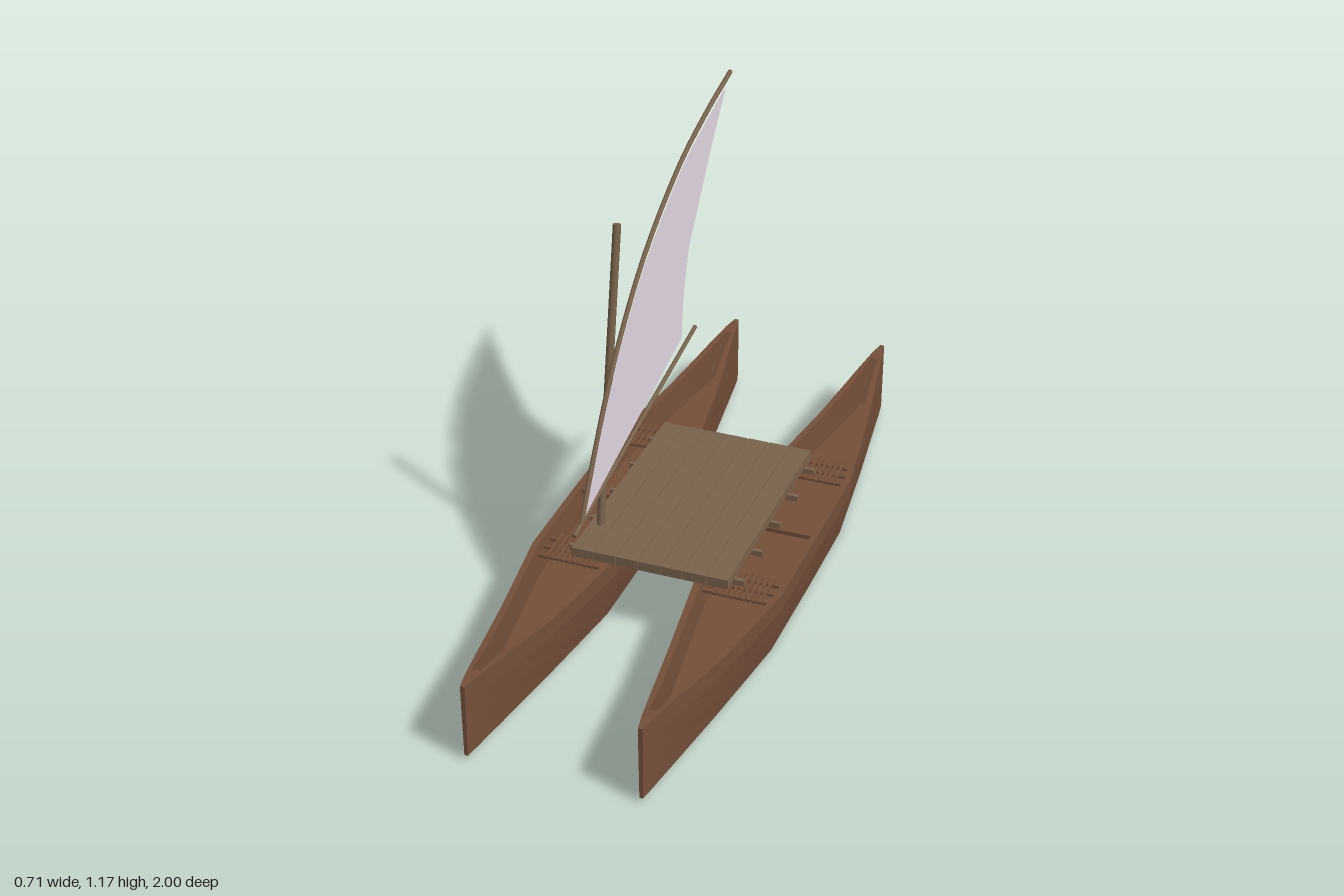
import * as THREE from 'three';

const mat = (color, extra = {}) => new THREE.MeshStandardMaterial({ color, roughness: 0.9, ...extra });
const hullMat = mat(0x754f3a, { flatShading: true });
const woodMat = mat(0x79634c);
const sailMat = mat(0xe2d6e0, { side: THREE.DoubleSide });

function add(parent, name, geometry, material, x = 0, y = 0, z = 0) {
  const m = new THREE.Mesh(geometry, material);
  m.name = name;
  m.position.set(x, y, z);
  parent.add(m);
  return m;
}

// round pole between two points
function pole(parent, name, a, b, r) {
  const dir = b.clone().sub(a);
  const m = add(parent, name, new THREE.CylinderGeometry(r, r, dir.length(), 10), woodMat);
  m.position.copy(a).addScaledVector(dir, 0.5);
  m.quaternion.setFromUnitVectors(new THREE.Vector3(0, 1, 0), dir.normalize());
  return m;
}

// one cross-section of the hollow hull, counter-clockwise seen from the bow
function hullSection([z, w, top, keel, floor]) {
  const side = [[0.78, 0], [0.9, 0.38], [0.99, 0.72], [1, 1]]
    .map(([k, f]) => [w * k, keel + (top - keel) * f]);
  const inner = w - Math.min(0.018, w * 0.45);
  side.push([inner, top], [inner * 0.93, floor]);
  const mirrored = side.map(([x, y]) => [-x, y]).reverse();
  return [...side, ...mirrored].map(([x, y]) => [x, y, z]);
}

function hullGeometry() {
  // z, half width, sheer height, keel height, inner floor height
  const half = [
    [0, 0.122, 0.184, 0, 0.1], [0.3, 0.12, 0.184, 0, 0.1], [0.45, 0.098, 0.184, 0.003, 0.1],
    [0.61, 0.074, 0.187, 0.006, 0.1], [0.78, 0.045, 0.206, 0.009, 0.1],
    [0.85, 0.033, 0.215, 0.01, 0.1], [0.92, 0.021, 0.222, 0.012, 0.222],
    [0.95, 0.016, 0.225, 0.012, 0.225], [1, 0.006, 0.226, 0.013, 0.226],
  ];
  const stations = [...half.slice(1).reverse().map(([z, ...r]) => [-z, ...r]), ...half];
  const sections = stations.map(hullSection);
  const n = sections[0].length, last = (sections.length - 1) * n, index = [];
  for (let s = 0; s < sections.length - 1; s++) {
    for (let i = 0; i < n; i++) {
      const a = s * n + i, b = s * n + (i + 1) % n;
      index.push(a, b, b + n, a, b + n, a + n);
    }
  }
  for (let i = 1; i < n - 1; i++) {
    index.push(last, last + i, last + i + 1, 0, i + 1, i);
  }
  const g = new THREE.BufferGeometry();
  g.setAttribute('position', new THREE.Float32BufferAttribute(sections.flat(2), 3));
  g.setIndex(index);
  g.computeVertexNormals();
  return g;
}

// slatted seat grating
function grating(parent, x, z) {
  const g = new THREE.Group();
  g.name = 'grating';
  g.position.set(x, 0.165, z);
  for (let i = 0; i < 9; i++) {
    add(g, 'slat', new THREE.BoxGeometry(0.008, 0.008, 0.12), hullMat, -0.064 + i * 0.016, 0, 0);
  }
  for (const dz of [-0.042, 0, 0.042]) {
    add(g, 'slatBearer', new THREE.BoxGeometry(0.2, 0.008, 0.01), hullMat, 0, -0.008, dz);
  }
  parent.add(g);
}

export function createModel() {
  const model = new THREE.Group();
  model.name = 'sailingCatamaran';

  // twin hulls with gratings and a thwart
  const hullGeo = hullGeometry();
  for (const s of [-1, 1]) {
    const hull = new THREE.Group();
    hull.name = s > 0 ? 'leftHull' : 'rightHull';
    add(hull, 'hullShell', hullGeo, hullMat, s * 0.235, 0, 0);
    add(hull, 'thwart', new THREE.BoxGeometry(0.215, 0.012, 0.012), hullMat, s * 0.235, 0.172, -0.005);
    grating(hull, s * 0.24, 0.27);
    grating(hull, s * 0.24, -0.35);
    model.add(hull);
  }

  // deck planks on crossbeams
  const deck = new THREE.Group();
  deck.name = 'deck';
  const pitch = 0.445 / 7;
  for (let i = 0; i < 7; i++) {
    add(deck, 'plank', new THREE.BoxGeometry(pitch - 0.002, 0.027, 0.69), woodMat, (i - 3) * pitch, 0.2135, 0);
  }
  for (let i = -2; i <= 2; i++) {
    add(deck, 'crossbeam', new THREE.BoxGeometry(0.5, 0.016, 0.012), woodMat, 0, 0.193, i * 0.146);
  }
  model.add(deck);

  // raked mast, curved yard and boom
  const V = (x, y, z) => new THREE.Vector3(x, y, z);
  pole(model, 'mast', V(-0.192, 0.2, 0.216), V(-0.192, 1.06, 0.06), 0.011);
  pole(model, 'boom', V(-0.174, 0.329, 0.433), V(-0.152, 0.522, -0.41), 0.006);
  const yardPts = [[0.39, 0.337], [0.246, 0.567], [0.12, 0.727], [-0.075, 0.904],
    [-0.34, 1.053], [-0.556, 1.123], [-0.743, 1.166]].map(([z, y]) => V(-0.172, y, z));
  const yard = new THREE.CatmullRomCurve3(yardPts);
  add(model, 'yard', new THREE.TubeGeometry(yard, 40, 0.007, 8), woodMat);
  for (const p of [yardPts[0], yardPts[6]]) {
    add(model, 'yardTip', new THREE.SphereGeometry(0.007, 8, 6), woodMat, p.x, p.y, p.z);
  }

  // sail outline drawn with shape x = -z, then turned into the fore-and-aft plane
  const outline = new THREE.Shape();
  outline.moveTo(-0.374, 0.35);
  outline.splineThru([[-0.24, 0.55], [-0.11, 0.712], [0.08, 0.883], [0.34, 1.032], [0.55, 1.1], [0.706, 1.138]]
    .map(([x, y]) => new THREE.Vector2(x, y)));
  for (const [x, y] of [[0.594, 1.01], [0.406, 0.77], [0.364, 0.636], [0.348, 0.513]]) outline.lineTo(x, y);
  outline.closePath();
  const sail = add(model, 'sail', new THREE.ShapeGeometry(outline, 6), sailMat, -0.17, 0, 0);
  sail.rotation.y = Math.PI / 2;

  return model;
}
